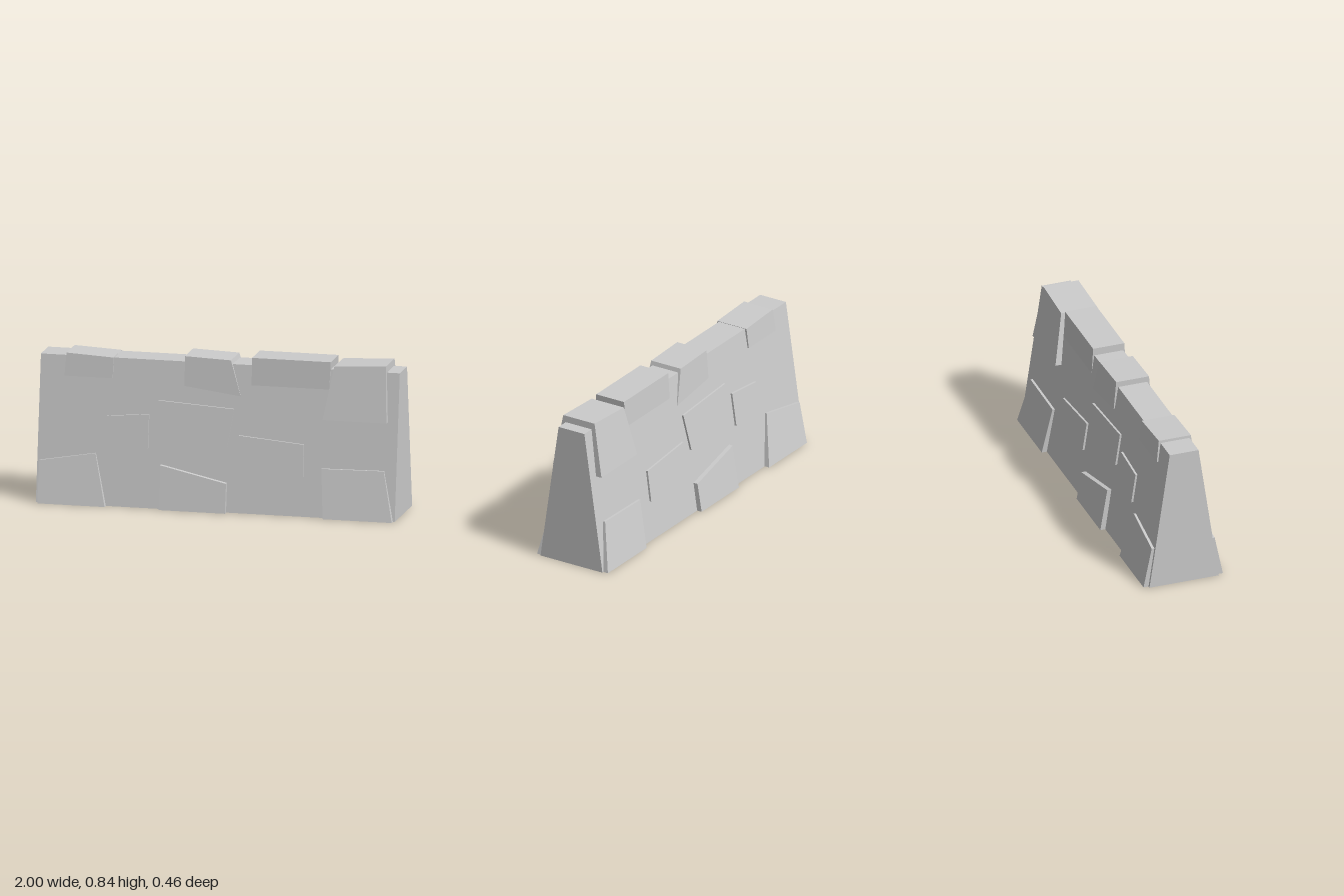
import * as THREE from 'three';

// Every block is an open-bottomed shell, so both sides show
const material = new THREE.MeshStandardMaterial({
  color: 0xcccccc, flatShading: true, side: THREE.DoubleSide,
});

// Shell running through the wall: an (x, y) outline (bottom left, bottom right,
// top right, top left) whose half depth is base - slope * y, without underside
function block(name, outline, base, slope) {
  const f = outline.map(([x, y]) => [x, y, base - slope * y]);
  const b = f.map(([x, y, z]) => [x, y, -z]);
  const quads = [f, [b[1], b[0], b[3], b[2]]];
  for (let i = 1; i < 4; i++) {
    const j = (i + 1) % 4;
    quads.push([f[j], f[i], b[i], b[j]]);
  }
  const pos = [];
  for (const [p, q, r, s] of quads) pos.push(...p, ...q, ...r, ...p, ...r, ...s);
  const geo = new THREE.BufferGeometry();
  geo.setAttribute('position', new THREE.Float32BufferAttribute(pos, 3));
  geo.computeVertexNormals();
  const mesh = new THREE.Mesh(geo, material);
  mesh.name = name;
  return mesh;
}

export function createModel() {
  const group = new THREE.Group();
  group.name = 'stoneWall';
  const addRow = (name, stones) =>
    stones.forEach(([outline, base, slope], i) => group.add(block(`${name}${i + 1}`, outline, base, slope)));

  // Tapered wall body
  group.add(block('wallBody', [[-1, 0], [1, 0], [1, 0.8], [-1, 0.8]], 0.2, 0.146));

  // Foot stones: outline, half depth at y = 0, slope
  addRow('footStone', [
    [[[-0.985, 0], [-0.61, 0], [-0.675, 0.283], [-0.985, 0.23]], 0.229, 0.205],
    [[[-0.31, 0], [0.06, 0], [0.06, 0.16], [-0.31, 0.24]], 0.229, 0.167],
    [[[0.605, 0], [0.99, 0], [0.932, 0.271], [0.585, 0.266]], 0.229, 0.205],
  ]);

  // Shallow stones in the middle of the wall
  addRow('middleStone', [
    [[[-0.618, 0.322], [-0.385, 0.322], [-0.385, 0.507], [-0.618, 0.487]], 0.212, 0.148],
    [[[-0.335, 0.403], [0.055, 0.35], [0.087, 0.56], [-0.335, 0.585]], 0.212, 0.148],
    [[[0.118, 0.26], [0.484, 0.216], [0.48, 0.39], [0.118, 0.42]], 0.212, 0.148],
  ]);

  // Capping stones
  addRow('capStone', [
    [[[-0.863, 0.69], [-0.595, 0.69], [-0.592, 0.802], [-0.855, 0.815]], 0.188, 0.117],
    [[[-0.193, 0.67], [0.12, 0.63], [0.062, 0.823], [-0.195, 0.832]], 0.1655, 0.085],
    [[[0.178, 0.68], [0.61, 0.68], [0.617, 0.842], [0.178, 0.842]], 0.1405, 0.06],
    [[[0.587, 0.534], [0.943, 0.534], [0.926, 0.837], [0.64, 0.822]], 0.255, 0.184],
  ]);

  return group;
}
